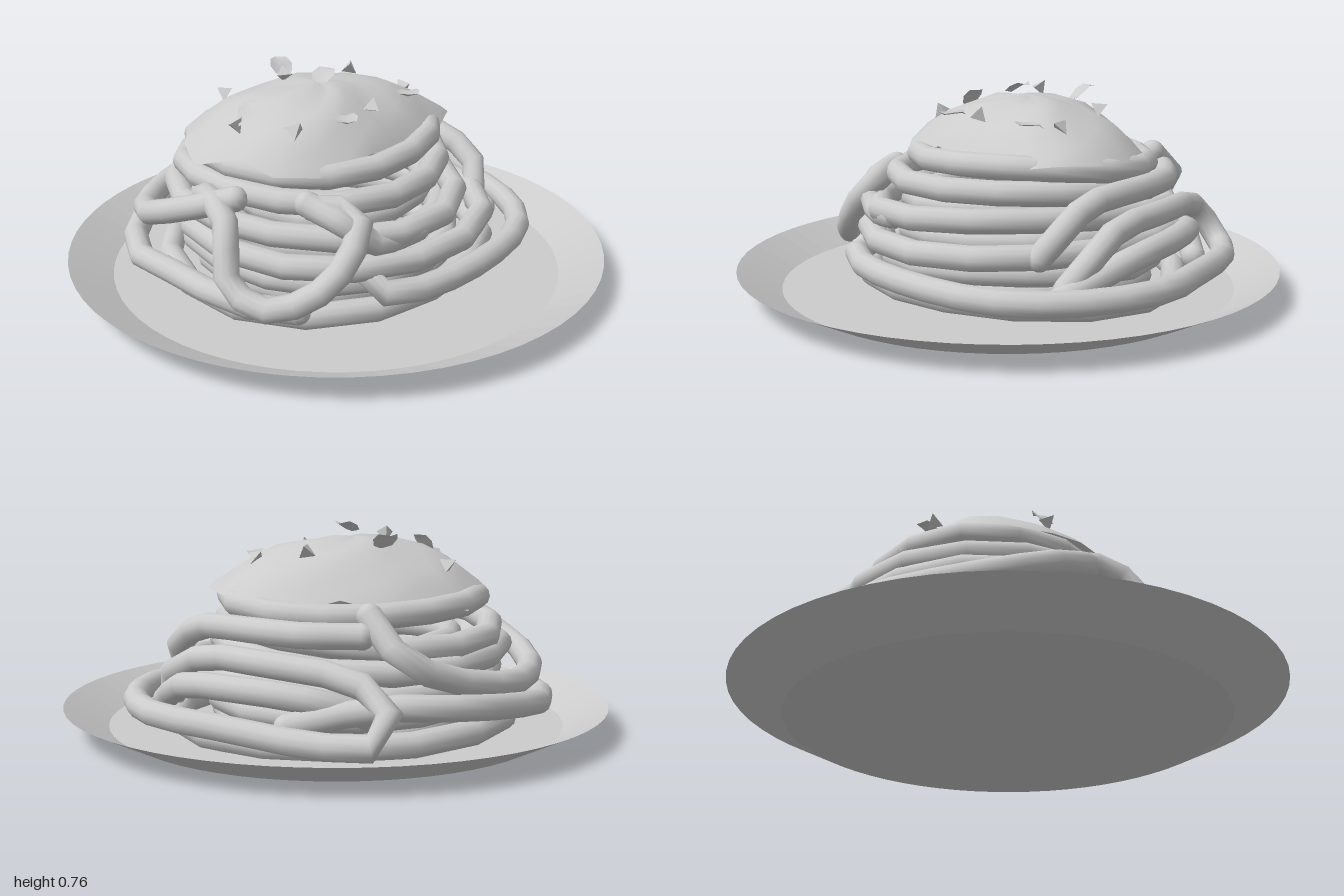
import * as THREE from 'three';

const V = (p) => new THREE.Vector3(...p);
const smooth = new THREE.MeshStandardMaterial({ color: 0xcccccc, side: THREE.DoubleSide });
const faceted = new THREE.MeshStandardMaterial({ color: 0xcccccc, side: THREE.DoubleSide, flatShading: true });
const R = 0.045; // noodle radius

function add(parent, name, geometry, material) {
  const mesh = new THREE.Mesh(geometry, material);
  mesh.name = name;
  parent.add(mesh);
  return mesh;
}

// Loose noodle with rounded ends
function strand(parent, name, points, segments = points.length * 2) {
  const curve = new THREE.CatmullRomCurve3(points.map(V), false, 'centripetal');
  add(parent, name, new THREE.TubeGeometry(curve, segments, R, 12), smooth);
  for (const p of [points[0], points[points.length - 1]]) {
    add(parent, name + 'End', new THREE.SphereGeometry(R, 12, 8), smooth).position.set(...p);
  }
}

// Closed, slightly uneven noodle ring; tilt raises the front and lowers the back
function coil(parent, y, x0, x1, z0, z1, tilt, phase, sides = 15) {
  const cx = (x0 + x1) / 2, cz = (z0 + z1) / 2;
  const rx = (x1 - x0) / 2 - R, rz = (z1 - z0) / 2 - R;
  const points = [];
  for (let i = 0; i < sides; i++) {
    const a = (i / sides) * Math.PI * 2 + phase;
    const k = 1 + 0.025 * Math.sin(3 * a + phase * 5);
    points.push(new THREE.Vector3(cx + rx * k * Math.cos(a),
      y + tilt * Math.sin(a) + 0.012 * Math.sin(2 * a + phase), cz + rz * k * Math.sin(a)));
  }
  const curve = new THREE.CatmullRomCurve3(points, true, 'centripetal');
  add(parent, 'noodleCoil', new THREE.TubeGeometry(curve, sides, R, 12, true), smooth);
}

// Sauce rim corners: x, y, z
const rim = [
  [0.49, 0.52, -0.07], [0.48, 0.53, 0.07], [0.38, 0.51, 0.14], [0.27, 0.5, 0.21], [0.1, 0.49, 0.24],
  [-0.03, 0.54, 0.27], [-0.14, 0.51, 0.28], [-0.27, 0.5, 0.28], [-0.41, 0.51, 0.2], [-0.45, 0.54, 0.06],
  [-0.54, 0.49, -0.1], [-0.49, 0.51, -0.26], [-0.4, 0.53, -0.38], [-0.23, 0.47, -0.53], [-0.08, 0.52, -0.48],
  [0.1, 0.49, -0.51], [0.2, 0.52, -0.41], [0.38, 0.48, -0.38], [0.47, 0.52, -0.21],
];
const top = [-0.02, 0.705, -0.09];

// Domed sauce lofted from the rim inward to the top
function sauceGeometry() {
  const levels = [1, 0.94, 0.84, 0.7, 0.52, 0.33, 0.15, 0];
  const n = rim.length, pos = [], index = [];
  levels.forEach((s, k) => {
    rim.forEach(([x, y, z], i) => {
      const lump = 0.008 * Math.sin(i * 1.3 + k * 1.7) * Math.sin(Math.PI * s);
      pos.push(top[0] + (x - top[0]) * s, y + (top[1] - y) * (1 - s ** 2.5) + lump, top[2] + (z - top[2]) * s);
      if (k === 0) return;
      const j = (i + 1) % n, a = (k - 1) * n, b = k * n;
      index.push(a + i, b + i, a + j, a + j, b + i, b + j);
    });
  });
  const g = new THREE.BufferGeometry();
  g.setAttribute('position', new THREE.Float32BufferAttribute(pos, 3));
  g.setIndex(index);
  g.computeVertexNormals();
  return g;
}

// Pointed herb leaf, cupped along its length
function leafGeometry() {
  const g = new THREE.PlaneGeometry(0.12, 0.09, 4, 2);
  g.rotateX(-Math.PI / 2);
  const p = g.attributes.position;
  for (let i = 0; i < p.count; i++) {
    const t = p.getX(i) / 0.06;
    const z = p.getZ(i) * (1 - t * t);
    p.setXYZ(i, p.getX(i), 0.014 * Math.sin(t * 2.5) + Math.abs(z) * 0.25, z);
  }
  g.computeVertexNormals();
  return g;
}

// Approximate sauce surface height
const sauceY = (x, z) => 0.705 - 0.19 * Math.min(1, Math.hypot((x + 0.02) / 0.5, (z + 0.12) / 0.41)) ** 2.5;

export function createModel() {
  const model = new THREE.Group();
  model.name = 'plateOfNoodles';

  // Shallow plate
  const profile = [[0, 0], [0.8, 0], [1, 0.1], [0.84, 0.02], [0, 0.02]].map((p) => new THREE.Vector2(...p));
  add(model, 'plate', new THREE.LatheGeometry(profile, 64), faceted);

  // Piled coils, from the plate up
  const noodles = new THREE.Group();
  noodles.name = 'noodles';
  model.add(noodles);
  [
    [0.065, -0.66, 0.66, -0.68, 0.54, 0, 0.2],
    [0.065, -0.5, 0.5, -0.53, 0.4, 0, 0.9],
    [0.14, -0.55, 0.52, -0.6, 0.46, 0, 0.5],
    [0.23, -0.59, 0.6, -0.67, 0.57, 0, 1.2],
    [0.24, -0.46, 0.46, -0.54, 0.42, 0, 0.1],
    [0.32, -0.58, 0.5, -0.69, 0.52, 0.01, 0.8],
    [0.34, -0.43, 0.4, -0.5, 0.38, 0, 0.3],
    [0.405, -0.54, 0.48, -0.66, 0.43, 0.025, 1.6],
    [0.49, -0.51, 0.49, -0.57, 0.34, 0.01, 0.4],
  ].forEach((c) => coil(noodles, ...c));

  // Long outer strand that loops back on itself behind the pile
  strand(noodles, 'outerStrand', [
    [-0.2, 0.2, 0.42], [-0.2, 0.15, 0.52], [-0.08, 0.135, 0.56], [0.25, 0.135, 0.53], [0.58, 0.135, 0.38],
    [0.73, 0.135, 0.15], [0.76, 0.14, -0.15], [0.62, 0.13, -0.4], [0.4, 0.11, -0.7], [0.27, 0.12, -0.79],
    [0.21, 0.22, -0.75], [0.27, 0.29, -0.64], [0.45, 0.32, -0.38], [0.57, 0.31, -0.1], [0.63, 0.24, 0.04],
    [0.6, 0.14, 0.12],
  ], 26);
  // Outer strand around the back and the right side
  strand(noodles, 'backStrand', [
    [0.45, 0.14, -0.52], [0.2, 0.2, -0.66], [-0.02, 0.2, -0.76], [-0.25, 0.17, -0.7], [-0.55, 0.13, -0.53],
    [-0.69, 0.12, -0.25], [-0.64, 0.12, 0], [-0.6, 0.1, 0.2], [-0.45, 0.1, 0.4],
  ], 12);
  // Strand hanging over the front right
  strand(noodles, 'frontStrand', [
    [-0.47, 0.32, -0.2], [-0.54, 0.4, 0], [-0.57, 0.36, 0.15], [-0.62, 0.19, 0.24], [-0.56, 0.13, 0.38],
    [-0.4, 0.2, 0.48], [-0.27, 0.33, 0.48], [-0.22, 0.41, 0.42], [-0.33, 0.42, 0.32],
  ], 15);
  strand(noodles, 'frontHook', [[-0.34, 0.43, 0.3], [-0.27, 0.38, 0.43], [-0.17, 0.3, 0.46], [0, 0.31, 0.47]]);
  // Strands draped over the left side
  strand(noodles, 'sideStrand', [
    [0.2, 0.42, -0.56], [0.36, 0.42, -0.45], [0.47, 0.42, -0.25], [0.54, 0.4, 0], [0.57, 0.32, 0.13],
    [0.53, 0.24, 0.18],
  ], 9);
  strand(noodles, 'sideStrand', [
    [0.16, 0.15, -0.6], [0.36, 0.22, -0.56], [0.55, 0.24, -0.34], [0.64, 0.22, -0.1], [0.62, 0.12, 0.15],
  ], 8);
  // Slanted strands across the back
  strand(noodles, 'slantedStrand', [
    [0.16, 0.48, -0.54], [0.12, 0.36, -0.67], [-0.05, 0.28, -0.69], [-0.35, 0.23, -0.63], [-0.62, 0.25, -0.35],
    [-0.62, 0.34, -0.1], [-0.5, 0.42, 0.1],
  ], 11);

  // Sauce cap
  add(model, 'sauce', sauceGeometry(), smooth);

  // Herb leaves: x, z, turn, tip
  const leaf = leafGeometry();
  [[-0.02, -0.33, 1.4, 0.3], [-0.02, -0.05, 0.4, 0.1], [-0.35, -0.04, 0.2, 0.5], [0.28, 0.07, 0.9, -0.4],
    [-0.09, 0.18, 1.1, -0.3]].forEach(([x, z, turn, tip]) => {
    const m = add(model, 'herbLeaf', leaf, smooth);
    m.position.set(x, sauceY(x, z) + 0.03, z);
    m.rotation.set(0, turn, tip);
  });

  // Small angular crumbs
  const crumb = new THREE.TetrahedronGeometry(0.036);
  [[-0.23, -0.4], [-0.1, -0.19], [0.24, -0.24], [0.33, -0.02], [-0.27, 0.13], [0.05, 0.15], [-0.4, -0.05]]
    .forEach(([x, z], i) => {
      const m = add(model, 'crumb', crumb, faceted);
      m.position.set(x, sauceY(x, z) + 0.02, z);
      m.rotation.set(i * 1.1, i * 0.7, i * 0.5);
      m.scale.setScalar(i === 4 ? 1.4 : 1);
    });
  return model;
}
